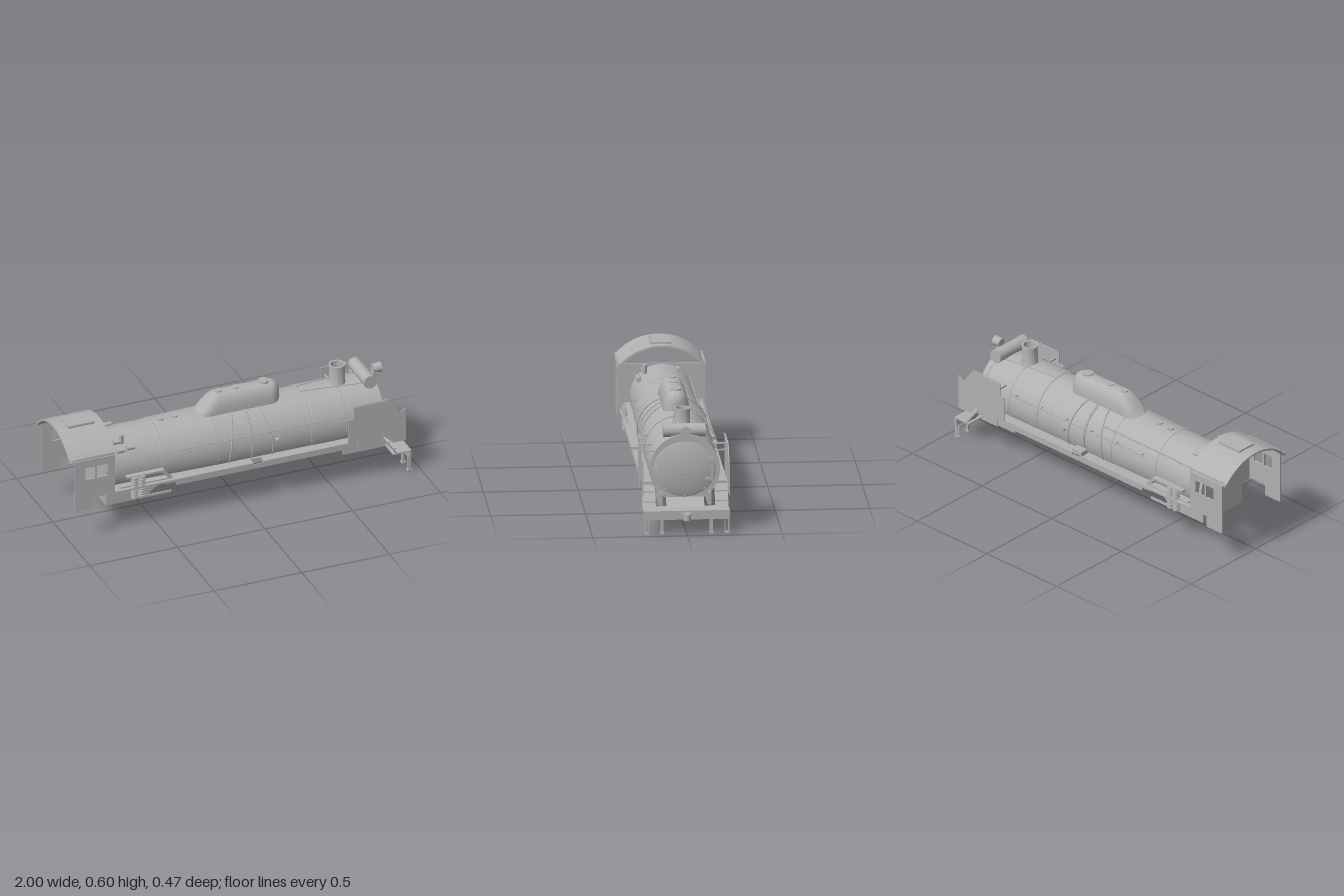
import * as THREE from 'three';
import { toCreasedNormals } from 'three/addons/utils/BufferGeometryUtils.js';

const V = (x, y, z) => new THREE.Vector3(x, y, z);
const CY = 0.315; // boiler axis height

export function createModel() {
  const root = new THREE.Group();
  root.name = 'locomotiveBody';
  const grey = new THREE.MeshStandardMaterial({ color: 0xb0b0b0, side: THREE.DoubleSide });
  grey.name = 'plain grey';

  const add = (name, geo, x = 0, y = 0, z = 0, parent = root) => {
    const m = new THREE.Mesh(geo, grey);
    m.name = name;
    m.position.set(x, y, z);
    parent.add(m);
    return m;
  };
  // box given by its limits
  const box = (name, x0, x1, y0, y1, z0, z1) =>
    add(name, new THREE.BoxGeometry(x1 - x0, y1 - y0, Math.abs(z1 - z0)), (x0 + x1) / 2, (y0 + y1) / 2, (z0 + z1) / 2);
  const cyl = (name, r, len, axis, x, y, z, r2 = r) => {
    const g = new THREE.CylinderGeometry(r2, r, len, 32);
    if (axis === 'x') g.rotateZ(-Math.PI / 2);
    if (axis === 'z') g.rotateX(Math.PI / 2);
    return add(name, g, x, y, z);
  };
  const tube = (name, pts, r = 0.003) =>
    add(name, new THREE.TubeGeometry(new THREE.CatmullRomCurve3(pts), 24, r, 6));
  const outline = (pts) => new THREE.Shape(pts.map((p) => new THREE.Vector2(p[0], p[1])));
  const plate = (name, shape, depth, z) =>
    add(name, new THREE.ExtrudeGeometry(shape, { depth, bevelEnabled: false, curveSegments: 32 }), 0, 0, z - depth / 2);
  // extrusion along x of a shape drawn in (z, y)
  const slab = (name, shape, x0, x1) => {
    const g = new THREE.ExtrudeGeometry(shape, { depth: x1 - x0, bevelEnabled: false, curveSegments: 48 });
    return add(name, toCreasedNormals(g.rotateY(Math.PI / 2), 0.5), x0, 0, 0);
  };
  // surface through rows of points
  const skin = (name, rows, crease) => {
    const n = rows[0].length, idx = [];
    for (let i = 0; i < rows.length - 1; i++)
      for (let j = 0; j < n - 1; j++) {
        const a = i * n + j;
        idx.push(a, a + 1, a + n, a + 1, a + n + 1, a + n);
      }
    const g = new THREE.BufferGeometry().setFromPoints(rows.flat());
    g.setIndex(idx);
    return add(name, toCreasedNormals(g, crease));
  };

  // Boiler: stepped barrel with wheel wells scooped from its underside
  const radius = (x) => (x < -0.44 ? 0.171 : x < -0.13 ? 0.174 + (x + 0.44) * 0.02 : x < 0.4 ? 0.181 : 0.184);
  const wells = [-0.16, 0.14, 0.43];
  const rows = [];
  for (let i = 0; i <= 158; i++) {
    const x = -0.77 + i * 0.01, r = radius(x), row = [];
    const dx = Math.min(...wells.map((w) => Math.abs(x - w)));
    const arch = 0.222 - 2.4 * dx * dx;
    for (let j = 0; j <= 96; j++) {
      const a = (j / 96) * Math.PI * 2;
      let z = Math.cos(a) * r;
      const y = Math.max(CY - Math.sin(a) * r, 0.138);
      if (y < arch && Math.abs(z) > 0.1) z = 0.1 * Math.sign(z);
      row.push(V(x, y, z));
    }
    rows.push(row);
  }
  skin('boiler', rows, 0.6);
  add('boilerBackPlate', new THREE.CircleGeometry(0.171, 48).rotateY(-Math.PI / 2), -0.77, CY, 0);
  for (const x of [-0.44, -0.13, 0.07, 0.4, 0.6])
    add('boilerBand', new THREE.TorusGeometry(radius(x), 0.0025, 6, 64, Math.PI * 1.15).rotateZ(-Math.PI * 0.075).rotateY(Math.PI / 2), x, CY, 0);

  // Smokebox front and domed door
  const front = new THREE.Shape();
  const cut = Math.asin(0.151 / 0.186);
  front.absarc(0, CY, 0.186, -cut, Math.PI + cut, false);
  slab('smokeboxFront', front, 0.78, 0.812);
  const door = [[0.165, 0], [0.15, 0.006], [0.12, 0.012], [0.08, 0.019], [0.04, 0.022], [0, 0.023]].map((p) => new THREE.Vector2(...p));
  const doorMesh = add('smokeboxDoor', new THREE.LatheGeometry(door, 64).rotateZ(-Math.PI / 2), 0.812, CY, 0);
  doorMesh.scale.set(1, 0.9, 1);
  add('doorWheel', new THREE.TorusGeometry(0.018, 0.003, 8, 32).rotateY(Math.PI / 2), 0.845, CY, 0);
  cyl('doorHub', 0.006, 0.02, 'x', 0.84, CY, 0);
  for (let i = 0; i < 3; i++) {
    const spoke = add('doorWheelSpoke', new THREE.BoxGeometry(0.004, 0.036, 0.004), 0.845, CY, 0);
    spoke.rotation.x = (i * Math.PI) / 3;
  }
  const handle = add('doorHandle', new THREE.BoxGeometry(0.004, 0.036, 0.005), 0.85, CY - 0.012, 0.006);
  handle.rotation.x = 0.5;
  for (let i = 0; i < 6; i++) {
    const a = Math.PI / 2 + [0, 0.785, 2.356, 3.1416, 3.927, 5.498][i];
    box('doorClamp', 0.81, 0.826, CY + Math.sin(a) * 0.146 - 0.004, CY + Math.sin(a) * 0.146 + 0.004, Math.cos(a) * 0.146 - 0.004, Math.cos(a) * 0.146 + 0.004);
  }
  for (const y of [0.265, 0.37]) box('doorHinge', 0.812, 0.83, y - 0.006, y + 0.006, -0.148, -0.105);
  box('hingePost', 0.812, 0.83, 0.255, 0.38, -0.148, -0.138);
  box('doorGrip', 0.812, 0.83, 0.29, 0.342, 0.127, 0.133);

  // Chimney
  const stack = [[0.052, 0.48], [0.043, 0.505], [0.041, 0.59], [0.045, 0.592], [0.045, 0.6], [0.034, 0.6], [0.032, 0.5], [0, 0.5]];
  add('chimney', toCreasedNormals(new THREE.LatheGeometry(stack.map((p) => new THREE.Vector2(...p)), 40), 0.6), 0.62, 0, 0);

  // Feedwater heater and headlight
  cyl('feedwaterHeater', 0.036, 0.224, 'z', 0.765, 0.515, 0);
  for (const z of [-0.108, 0.108]) cyl('heaterRim', 0.038, 0.007, 'z', 0.765, 0.515, z);
  cyl('headlight', 0.023, 0.045, 'x', 0.845, 0.529, 0, 0.028);
  box('headlightBracket', 0.795, 0.85, 0.488, 0.505, -0.013, 0.013);

  // Long steam and sand dome, lofted along x
  const domeRows = [];
  for (let i = 0; i <= 48; i++) {
    const t = (1 - Math.cos((Math.PI * i) / 48)) / 2, x = -0.2 + t * 0.485;
    const end = Math.min(1, (x + 0.2) / 0.07, (0.285 - x) / 0.065);
    const w = 0.069 * Math.sqrt(Math.max(0, 1 - (1 - end) ** 2));
    const rise = THREE.MathUtils.smoothstep(x, -0.23, -0.07);
    const fall = Math.sqrt(Math.max(0, 1 - Math.max(0, (x - 0.235) / 0.05) ** 2));
    const top = 0.475 + 0.115 * rise * (0.5 + 0.5 * fall), row = [];
    for (let j = 0; j <= 32; j++) {
      const a = (j / 32) * Math.PI, c = Math.cos(a);
      row.push(V(x, 0.455 + (top - 0.455) * Math.sin(a) ** 0.65, w * Math.sign(c) * Math.abs(c) ** 0.8));
    }
    domeRows.push(row);
  }
  skin('dome', domeRows, 0.8);
  cyl('domeCap', 0.028, 0.012, 'y', 0.2, 0.591, 0);
  for (const x of [-0.06, 0.04]) cyl('sandCap', 0.02, 0.01, 'y', x, 0.589, 0);
  for (const x of [-0.39, -0.31]) cyl('washoutCap', 0.019, 0.012, 'y', x, 0.492, 0);

  // Cab roof, hatch and front wall
  const roof = new THREE.Shape(), half = Math.asin(0.232 / 0.3);
  roof.absarc(0, 0.282, 0.302, Math.PI / 2 - half, Math.PI / 2 + half, false);
  roof.absarc(0, 0.282, 0.292, Math.PI / 2 + half, Math.PI / 2 - half, true);
  slab('cabRoof', roof, -1, -0.74);
  box('roofHatch', -0.935, -0.785, 0.57, 0.592, -0.055, 0.055);
  const wall = outline([[-0.225, 0.245], [0.225, 0.245], [0.225, 0.49], [-0.225, 0.49]]);
  const hole = new THREE.Path();
  hole.absarc(0, CY, 0.165, -0.4, Math.PI + 0.4, false);
  wall.holes.push(hole);
  slab('cabFrontWall', wall, -0.752, -0.742);

  // Parts mirrored on both sides
  for (const s of [1, -1]) {
    // Cab side with two windows
    const side = outline([[-0.97, 0.178], [-0.862, 0.178], [-0.862, 0.24], [-0.742, 0.24], [-0.742, 0.49], [-0.97, 0.49]]);
    for (const [a, b] of [[-0.912, -0.857], [-0.845, -0.782]])
      side.holes.push(new THREE.Path([[a, 0.355], [b, 0.355], [b, 0.427], [a, 0.427]].map((p) => new THREE.Vector2(...p))));
    plate('cabSide', side, 0.008, s * 0.225);
    box('cabEave', -1, -0.74, 0.478, 0.486, s * 0.222, s * 0.232);

    // Smoke deflector and its stay
    plate('smokeDeflector', outline([[0.62, 0.455], [0.82, 0.455], [0.885, 0.37], [0.918, 0.392], [0.918, 0.195], [0.845, 0.195],
      [0.785, 0.25], [0.75, 0.19], [0.64, 0.19], [0.64, 0.245], [0.588, 0.245], [0.588, 0.385], [0.62, 0.385]]), 0.005, s * 0.228);
    tube('deflectorRail', [V(0.62, 0.457, s * 0.222), V(0.72, 0.457, s * 0.222), V(0.82, 0.457, s * 0.222)]);
    for (const x of [0.64, 0.78]) box('deflectorStay', x, x + 0.01, 0.405, 0.413, s * 0.15, s * 0.228);

    // Running boards
    box('runningBoard', -0.45, 0.05, 0.228, 0.243, s * 0.14, s * 0.225);
    box('runningBoard', 0.11, 0.79, 0.228, 0.243, s * 0.14, s * 0.225);
    box('runningBoardLink', 0.05, 0.11, 0.228, 0.243, s * 0.14, s * 0.18);
    box('boardValance', -0.39, 0.79, 0.205, 0.23, s * 0.215, s * 0.22);
    box('rearBoard', -0.742, -0.45, 0.233, 0.243, s * 0.13, s * 0.225);
    plate('pipeShield', outline([[-0.7, 0.243], [-0.4, 0.243], [-0.45, 0.302], [-0.66, 0.302], [-0.66, 0.292], [-0.465, 0.292], [-0.43, 0.25], [-0.7, 0.25]]), 0.03, s * 0.19);

    // Firebox side with curved cut-out at its front
    const fire = new THREE.Shape();
    fire.moveTo(-0.76, 0.25);
    fire.lineTo(-0.76, 0.128);
    fire.lineTo(-0.53, 0.128);
    fire.quadraticCurveTo(-0.5, 0.185, -0.41, 0.2);
    fire.lineTo(-0.41, 0.25);
    plate('fireboxSide', fire, 0.006, s * 0.15);
    box('ashpanRail', -0.54, -0.39, 0.128, 0.14, s * 0.146, s * 0.154);

    // Twin ribbed pumps and air reservoir
    for (const x of [-0.62, -0.58]) {
      cyl('pumpBody', 0.014, 0.125, 'y', x, 0.235, s * 0.203);
      for (let i = 0; i < 8; i++) cyl('pumpRib', 0.02, 0.008, 'y', x, 0.178 + i * 0.015 + (i > 3 ? 0.008 : 0), s * 0.203);
    }
    cyl('airReservoir', 0.019, 0.19, 'x', -0.225, 0.215, s * 0.2);

    // Handrail with posts, and sand pipes curving down the barrel
    tube('handrail', [V(-0.37, 0.388, s * 0.182), V(0.1, 0.388, s * 0.186), V(0.58, 0.388, s * 0.19)]);
    for (let i = 0; i < 6; i++) box('railPost', -0.35 + i * 0.18, -0.345 + i * 0.18, 0.385, 0.391, s * 0.16, s * 0.188);
    for (const [x0, x1] of [[-0.01, -0.065], [0.06, 0.06], [0.135, 0.18]]) {
      const pts = [];
      for (let i = 0; i <= 8; i++) {
        const a = 1.25 - (i / 8) * 1.7, k = Math.sin((i / 8) * Math.PI / 2);
        pts.push(V(x0 + (x1 - x0) * k, CY + Math.sin(a) * 0.184, s * Math.cos(a) * 0.184));
      }
      tube('sandPipe', pts, 0.0045);
    }
    cyl('checkValve', 0.012, 0.03, 'z', 0.205, 0.33, s * 0.185);
    tube('frontRail', [V(0.4, 0.5, s * 0.03), V(0.6, 0.497, s * 0.05), V(0.8, 0.49, s * 0.07)]);

    // Front steps sloping down to the deck
    const steps = add('frontSteps', new THREE.BoxGeometry(0.165, 0.008, 0.07), 0.818, 0.186, s * 0.192);
    steps.rotation.z = -Math.atan2(0.13, 0.1);
    for (const y of [0.15, 0.195]) box('stepTread', 0.84 - (y - 0.15) * 0.77, 0.865 - (y - 0.15) * 0.77, y, y + 0.006, s * 0.157, s * 0.227);
    box('frameRail', 0.6, 0.84, 0.122, 0.2, s * 0.12, s * 0.138).scale.y = 0.9;

    // Guard irons and open footstep frames under the beam
    box('guardIron', 0.935, 0.948, 0, 0.08, s * 0.122, s * 0.138);
    box('guardIronFoot', 0.93, 0.955, 0, 0.008, s * 0.119, s * 0.141);
    for (const z of [0.202, 0.221]) box('footstepLeg', 0.935, 0.948, 0, 0.08, s * (z - 0.002), s * (z + 0.003));
    box('footstepTread', 0.93, 0.955, 0, 0.006, s * 0.2, s * 0.224);
  }

  // Firebox ends, front deck, buffer beam and coupler
  box('fireboxBack', -0.763, -0.757, 0.128, 0.25, -0.15, 0.15);
  box('fireboxThroat', -0.535, -0.529, 0.128, 0.2, -0.15, 0.15);
  box('frontDeck', 0.845, 0.95, 0.116, 0.124, -0.227, 0.227);
  box('bufferBeam', 0.936, 0.95, 0.076, 0.122, -0.227, 0.227);
  const apron = add('centreApron', new THREE.BoxGeometry(0.07, 0.006, 0.2), 0.835, 0.142, 0);
  apron.rotation.z = -0.65;
  box('couplerPocket', 0.95, 0.962, 0.08, 0.114, -0.028, 0.028);
  cyl('couplerKnuckle', 0.019, 0.034, 'y', 0.981, 0.097, 0);

  // Safety valves, whistle and the long pipe along the top
  for (const z of [0.1, 0.132]) cyl('safetyValve', 0.014, 0.045, 'x', -0.68 + (z - 0.1) * 0.3, 0.43 + (0.132 - z) * 1.2, z);
  cyl('safetyValve', 0.014, 0.045, 'x', -0.615, 0.438, 0.132);
  cyl('whistle', 0.013, 0.05, 'y', -0.655, 0.48, 0.1);
  cyl('turretValve', 0.012, 0.045, 'x', -0.66, 0.475, -0.08);
  tube('topPipe', [V(-0.74, 0.42, -0.142), V(-0.4, 0.425, -0.142), V(-0.04, 0.428, -0.145)], 0.004);
  box('sidePlatform', 0.04, 0.11, 0.243, 0.268, -0.225, -0.18);

  return root;
}
